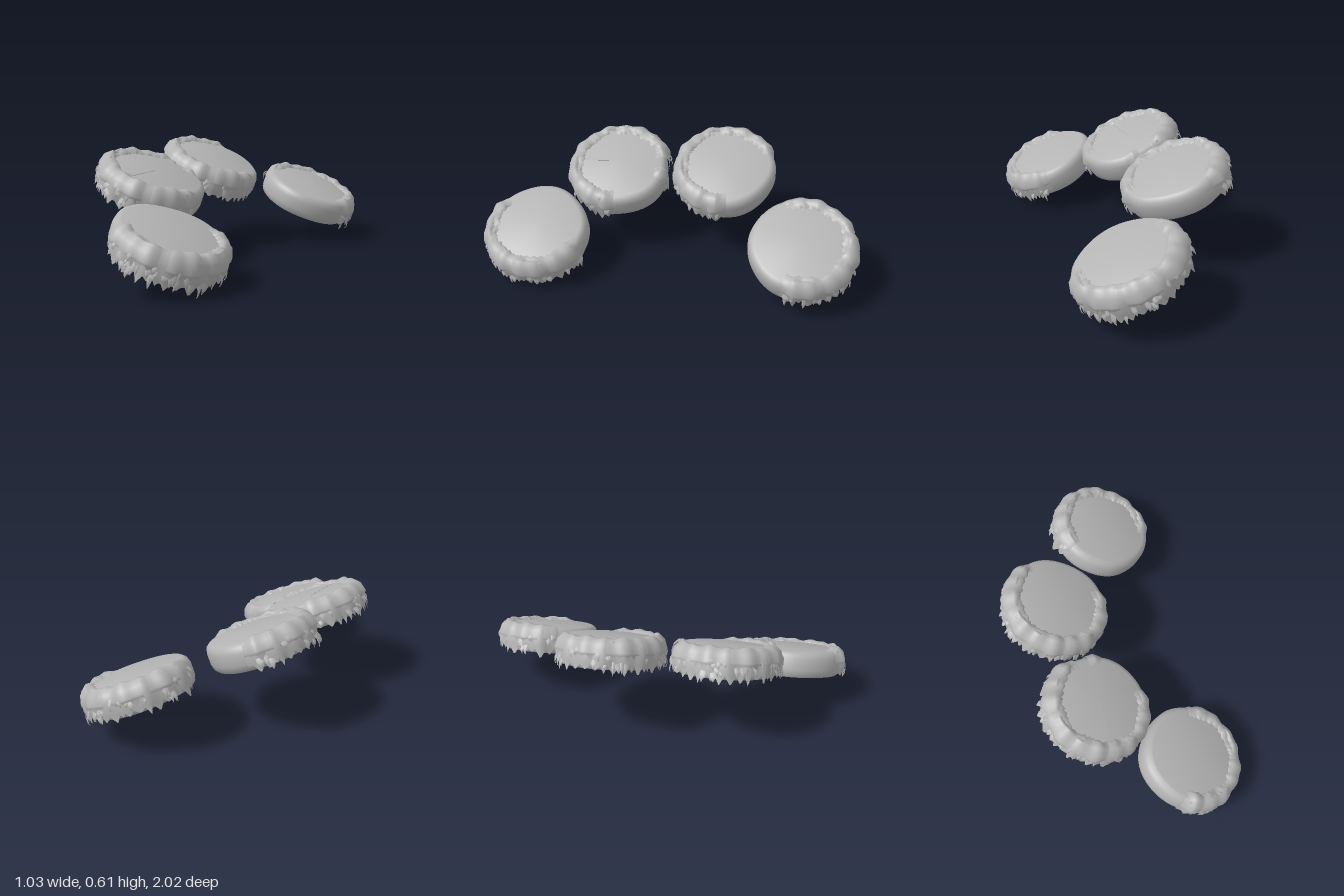
import * as THREE from 'three';
import { toCreasedNormals } from 'three/addons/utils/BufferGeometryUtils.js';

const TILT = -0.395;
const grey = new THREE.MeshStandardMaterial({ color: 0xb4b4b4, side: THREE.DoubleSide });
grey.name = 'stoneGrey';

function seeded(seed) {
  let s = seed;
  return () => (s = (s * 16807) % 2147483647) / 2147483647;
}

// Surface through rows of points, rows[i][j] = Vector3
function loft(rows) {
  const pos = [], idx = [], m = rows[0].length;
  rows.forEach((row) => row.forEach((p) => pos.push(p.x, p.y, p.z)));
  for (let i = 0; i < rows.length - 1; i++) {
    for (let j = 0; j < m - 1; j++) {
      const a = i * m + j, b = a + m;
      idx.push(a, b, a + 1, b, b + 1, a + 1);
    }
  }
  const g = new THREE.BufferGeometry();
  g.setAttribute('position', new THREE.Float32BufferAttribute(pos, 3));
  g.setIndex(idx);
  g.computeVertexNormals();
  return g;
}

const polar = (a, r, y) => new THREE.Vector3(Math.cos(a) * r, y, Math.sin(a) * r);

// Row of pointed teeth with random widths and lengths, values 0..1
function teeth(count, rnd) {
  const out = [];
  while (out.length < count) {
    const w = 3 + Math.floor(rnd() * 5), len = 0.35 + 0.65 * rnd();
    for (let k = 0; k < w; k++) out.push(len * (1 - Math.abs((2 * k) / w - 1)));
  }
  return out;
}

// Round slab, slightly uneven, with softened rims
function slab(phase) {
  const profile = [[0, -0.07], [0.255, -0.07], [0.266, -0.06], [0.274, -0.03], [0.274, 0.025],
    [0.266, 0.052], [0.25, 0.066], [0.238, 0.07], [0, 0.07]].map(([x, y]) => new THREE.Vector2(x, y));
  const g = new THREE.LatheGeometry(profile, 56);
  const p = g.attributes.position;
  for (let i = 0; i < p.count; i++) {
    const a = Math.atan2(p.getZ(i), p.getX(i));
    const k = 1 + 0.012 * Math.sin(3 * a + phase) + 0.01 * Math.sin(5 * a + 2 * phase);
    p.setX(i, p.getX(i) * k);
    p.setZ(i, p.getZ(i) * k);
  }
  return toCreasedNormals(g, 0.6);
}

// Moss skirt draped over the rim between two angles
function mossSkirt(from, to, seed, base, drop, lift) {
  const rnd = seeded(seed), n = Math.round((to - from) * 34);
  const lower = teeth(n + 1, rnd), inner = teeth(n + 1, rnd);
  const rows = [];
  for (let i = 0; i <= n; i++) {
    const t = i / n, a = from + (to - from) * t;
    const e = Math.min(1, Math.min(t, 1 - t) * (to - from) / 0.22);
    const puff = e * (0.011 + lift + 0.004 * Math.sin(9 * a + seed) + 0.004 * Math.sin(17 * a));
    const wide = 0.012 * Math.sin(4 * a + seed);
    const end = base - e * drop * lower[i];
    rows.push([
      polar(a, 0.222 + wide - 0.014 * inner[i], 0.071),
      polar(a, 0.232 + wide, 0.072 + puff * 0.8),
      polar(a, 0.255, 0.068 + puff),
      polar(a, 0.272 + puff * 0.7, 0.05 + puff * 0.5),
      polar(a, 0.278 + puff, 0.02),
      polar(a, 0.279 + puff, Math.min(0.01, base * 0.5)),
      polar(a, 0.277 + puff * 0.9, base),
      polar(a, 0.275 + puff, end),
    ]);
  }
  return loft(rows);
}

// Loose pointed blades drooping from the moss
function mossBlades(from, to, seed) {
  const rnd = seeded(seed), group = new THREE.Group();
  group.name = 'mossBlades';
  const count = Math.round((to - from) * 13);
  for (let i = 0; i < count; i++) {
    const a = from + 0.1 + (to - from - 0.2) * rnd();
    const y = 0.075 - 0.11 * rnd(), len = 0.035 + 0.035 * rnd(), w = 0.03 + 0.035 * rnd();
    const lean = (rnd() - 0.5) * 0.06;
    const r = y > 0.045 ? 0.268 : 0.287;
    const rows = [0, 0.4, 0.75, 1].map((t) => [-1, 0, 1].map((s) =>
      polar(a + s * w * (1 - t * t) + lean * t, r + 0.016 * Math.sin(t * 2.4) - 0.004 * Math.abs(s), y - len * t)));
    const blade = new THREE.Mesh(loft(rows), grey);
    blade.name = 'mossBlade';
    group.add(blade);
  }
  return group;
}

export function createModel() {
  const model = new THREE.Group();
  model.name = 'mossySteps';

  // Centre of each step and the angles (degrees, +x towards +z) its moss spans
  const steps = [
    { at: [0.185, 0.235, -0.705], moss: [[-205, 18]] },
    { at: [-0.225, 0.413, -0.255], moss: [[-8, 248]] },
    { at: [-0.185, 0.383, 0.342], moss: [[-5, 255], [272, 290]] },
    { at: [0.213, 0.178, 0.71], moss: [[-75, 125]] },
  ];

  steps.forEach(({ at, moss }, i) => {
    const step = new THREE.Group();
    step.name = 'step' + (i + 1);
    const stone = new THREE.Mesh(slab(i * 1.7), grey);
    stone.name = 'slab';
    step.add(stone);

    moss.forEach(([d0, d1], k) => {
      const a = THREE.MathUtils.degToRad(d0), b = THREE.MathUtils.degToRad(d1);
      const seed = 137 + i * 911 + k * 53;
      const under = new THREE.Mesh(mossSkirt(a, b, seed, -0.045, 0.055, 0), grey);
      under.name = 'mossLower';
      const over = new THREE.Mesh(mossSkirt(a, b, seed + 29, 0.012, 0.05, 0.006), grey);
      over.name = 'mossUpper';
      step.add(under, over);
      if (b - a > 1) step.add(mossBlades(a, b, seed + 71));
    });

    // Narrow wedge-shaped crack on the third step's top
    if (i === 2) {
      const wedge = new THREE.Shape();
      wedge.moveTo(0, 0.01);
      wedge.lineTo(0.02, -0.2);
      wedge.lineTo(-0.012, -0.2);
      const crack = new THREE.Mesh(new THREE.ExtrudeGeometry(wedge, { depth: 0.003, bevelEnabled: false }), grey);
      crack.name = 'crack';
      crack.rotation.x = -Math.PI / 2;
      crack.position.set(-0.01, 0.069, 0);
      step.add(crack);
    }

    step.position.set(...at);
    step.rotation.z = TILT;
    model.add(step);
  });

  return model;
}
